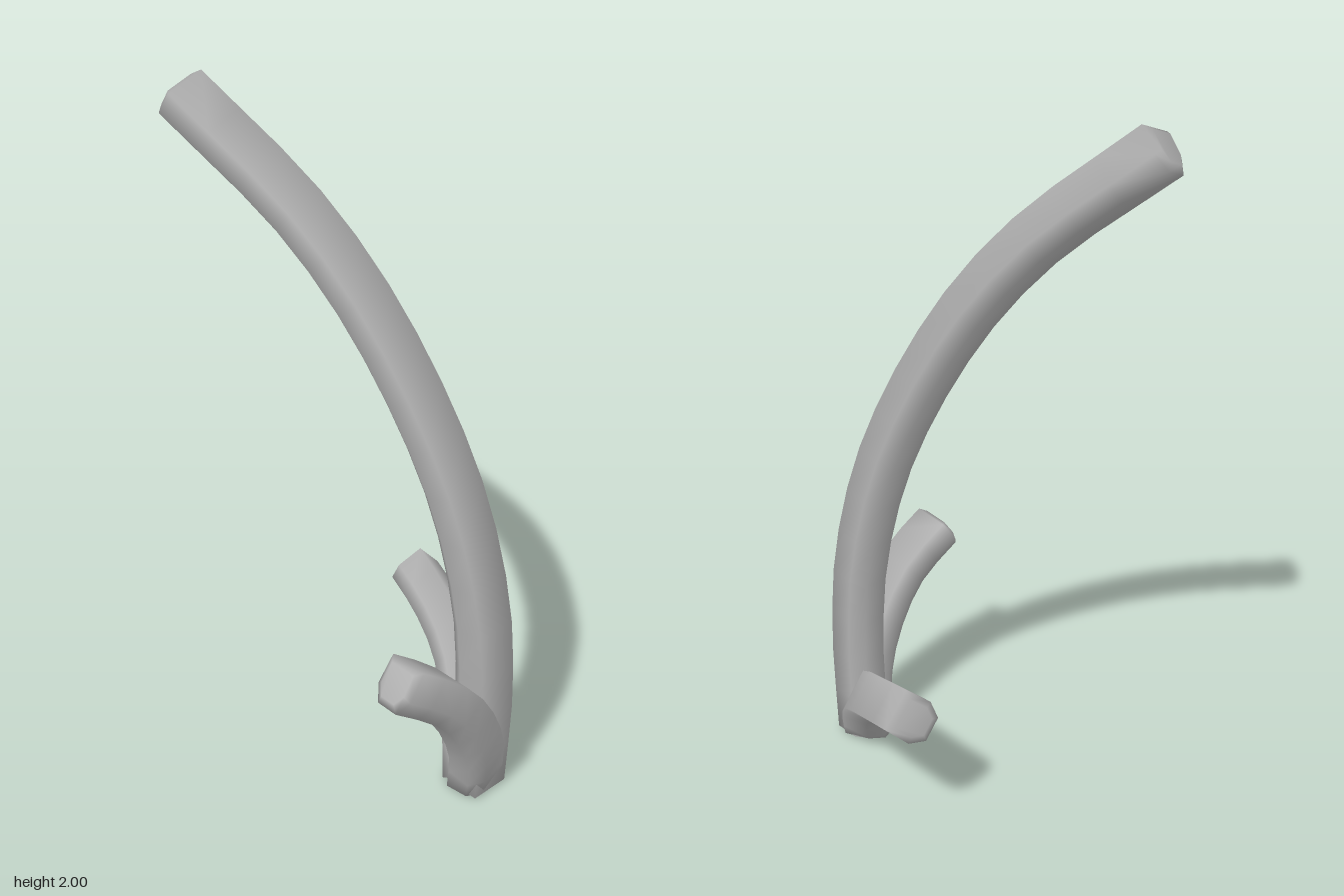
import * as THREE from 'three';

const grey = new THREE.MeshStandardMaterial({ color: 0xb0b0b0 });
grey.name = 'grey';

// Section: flat on the outer side, rounded on the inner side (side, outward)
const SECTION = [
  [-0.062, 0.06], [0.062, 0.06], [0.065, -0.025],
  [0.036, -0.07], [-0.036, -0.07], [-0.065, -0.025],
];

// Sweep the section along a curve without twist; 'outer' is where the flat side faces at the base
function stalk(name, path, outer, steps) {
  const curve = new THREE.CatmullRomCurve3(path.map((p) => new THREE.Vector3(...p)));
  const n = SECTION.length;
  const pos = [];
  const index = [];
  const out = new THREE.Vector3(...outer);
  const turn = new THREE.Quaternion();
  let last = curve.getTangentAt(0);

  // One ring of the section, scaled and pushed along the tangent
  const addRing = (c, t, scale, push) => {
    const side = new THREE.Vector3().crossVectors(out, t);
    for (const [s, o] of SECTION) {
      const v = c.clone().addScaledVector(side, s * scale)
        .addScaledVector(out, o * scale).addScaledVector(t, push);
      pos.push(v.x, Math.max(0, v.y), v.z);
    }
  };

  for (let i = 0; i <= steps; i++) {
    const c = curve.getPointAt(i / steps);
    const t = curve.getTangentAt(i / steps);
    out.applyQuaternion(turn.setFromUnitVectors(last, t));
    out.addScaledVector(t, -out.dot(t)).normalize();
    last = t;
    addRing(c, t, 1, 0);
    if (i === steps) addRing(c, t, 0.7, 0.012); // softly domed tip
  }
  const rings = steps + 2;
  for (let i = 0; i < rings - 1; i++) {
    for (let j = 0; j < n; j++) {
      const a = i * n + j, b = i * n + (j + 1) % n;
      index.push(a, a + n, b, b, a + n, b + n);
    }
  }
  // Close the base and the tip
  const tip = (rings - 1) * n;
  for (let j = 1; j < n - 1; j++) {
    index.push(0, j, j + 1, tip, tip + j + 1, tip + j);
  }
  const g = new THREE.BufferGeometry();
  g.setAttribute('position', new THREE.Float32BufferAttribute(pos, 3));
  g.setIndex(index);
  g.computeVertexNormals();
  const mesh = new THREE.Mesh(g, grey);
  mesh.name = name;
  return mesh;
}

export function createModel() {
  const group = new THREE.Group();
  group.name = 'stalks';
  group.add(
    // Tall stalk leaning back
    stalk('tallStalk', [
      [0.045, 0.01, 0.37], [0.047, 0.35, 0.382], [0.04, 0.65, 0.357], [0.005, 1.0, 0.267],
      [-0.07, 1.4, 0.068], [-0.15, 1.67, -0.14], [-0.278, 1.942, -0.45],
    ], [0, 0, 1], 16),
    // Short stalk curving to the right
    stalk('rightStalk', [
      [0.04, 0.01, 0.36], [-0.01, 0.2, 0.41], [-0.095, 0.37, 0.43],
      [-0.19, 0.485, 0.435], [-0.318, 0.583, 0.42],
    ], [1, 1, 0.1], 8),
    // Short stalk curving to the left and back
    stalk('leftStalk', [
      [0.035, 0.01, 0.355], [0.11, 0.16, 0.27], [0.185, 0.28, 0.155],
      [0.245, 0.355, 0], [0.28, 0.4, -0.14],
    ], [0.48, 0.33, 0.8], 8),
  );
  return group;
}
